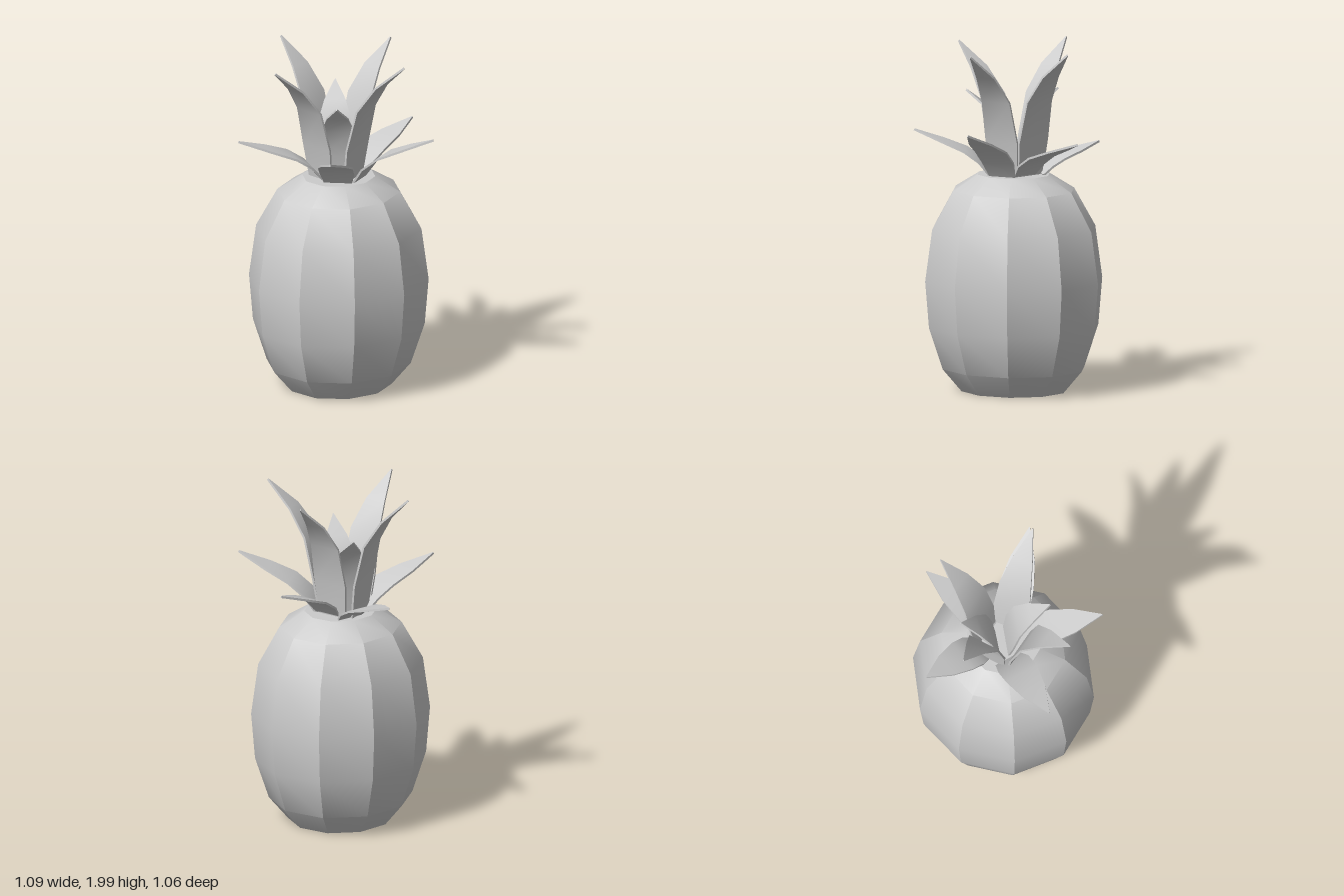
import * as THREE from 'three';
import { toCreasedNormals } from 'three/addons/utils/BufferGeometryUtils.js';

const CREASE = Math.PI / 6;
const TOP = 1.25;        // height of the flat top of the fruit
const THICK = 0.006;     // half thickness of a leaf

// Leaf rows: outward fraction, height fraction, half width
const UPRIGHT = [[0, 0, 0.09], [0.08, 0.27, 0.108], [0.25, 0.6, 0.095], [0.55, 0.81, 0.062], [1, 1, 0.002]];
const SPREADING = [[0, 0, 0.08], [0.13, 0.3, 0.1], [0.33, 0.55, 0.1], [0.63, 0.76, 0.072], [1, 1, 0.002]];

// Thin curved blade running from a base point to a tip
function leafGeometry([bx, bz], [tx, ty, tz], rows) {
  const reach = Math.hypot(tx - bx, tz - bz);
  const dir = new THREE.Vector3((tx - bx) / reach, 0, (tz - bz) / reach);
  const side = new THREE.Vector3(dir.z, 0, -dir.x);
  const path = rows.map(([o, h]) => new THREE.Vector2(o * reach, h * (ty - TOP)));
  const pos = [], index = [];
  rows.forEach(([, , half], i) => {
    const t = path[Math.min(i + 1, path.length - 1)].clone().sub(path[Math.max(i - 1, 0)]).normalize();
    for (const [s, n] of [[-1, -1], [1, -1], [1, 1], [-1, 1]]) {
      const out = path[i].x - t.y * n * THICK;
      const w = s * half;
      pos.push(
        bx + dir.x * out + side.x * w,
        TOP + path[i].y + t.x * n * THICK,
        bz + dir.z * out + side.z * w
      );
    }
    if (i === 0) return;
    for (let j = 0; j < 4; j++) {
      const k = (j + 1) % 4, a = (i - 1) * 4, b = i * 4;
      index.push(a + j, a + k, b + k, a + j, b + k, b + j);
    }
  });
  const e = (rows.length - 1) * 4;
  index.push(0, 3, 2, 0, 2, 1, e, e + 1, e + 2, e, e + 2, e + 3);
  const g = new THREE.BufferGeometry();
  g.setAttribute('position', new THREE.Float32BufferAttribute(pos, 3));
  g.setIndex(index);
  return toCreasedNormals(g, CREASE);
}

export function createModel() {
  const model = new THREE.Group();
  model.name = 'pineapple';
  const grey = new THREE.MeshStandardMaterial({ color: 0xcccccc });

  // Ten-sided barrel fruit, slightly deeper than wide
  const profile = [
    [0, 0], [0.297, 0], [0.405, 0.13], [0.483, 0.37], [0.505, 0.64],
    [0.465, 0.94], [0.345, 1.16], [0.205, TOP], [0, TOP]
  ].map(([r, y]) => new THREE.Vector2(r, y));
  const lathe = new THREE.LatheGeometry(profile, 10, Math.PI / 2);
  lathe.scale(1, 1, 1.057);
  const fruit = new THREE.Mesh(toCreasedNormals(lathe, CREASE), grey);
  fruit.name = 'fruit';
  fruit.position.set(-0.04, 0, 0.02);
  model.add(fruit);

  // Crown: each leaf is [base x z, tip x y z]
  const crown = new THREE.Group();
  crown.name = 'crown';
  model.add(crown);
  const addLeaves = (name, rows, list) => list.forEach(([base, tip]) => {
    const leaf = new THREE.Mesh(leafGeometry(base, tip, rows), grey);
    leaf.name = name;
    crown.add(leaf);
  });
  addLeaves('tallLeaf', UPRIGHT, [
    [[-0.055, -0.09], [-0.025, 1.98, -0.405]],
    [[0.055, 0.005], [0.405, 1.98, -0.045]],
    [[-0.17, 0.01], [-0.49, 1.99, 0.018]],
    [[-0.08, 0.13], [-0.1, 1.965, 0.495]]
  ]);
  addLeaves('innerLeaf', UPRIGHT, [
    [[-0.085, 0.005], [-0.226, 1.745, -0.155]],
    [[-0.03, 0.035], [0.133, 1.735, 0.23]]
  ]);
  addLeaves('lowLeaf', SPREADING, [
    [[-0.015, -0.08], [0.03, 1.48, -0.53]],
    [[0.09, -0.01], [0.54, 1.55, -0.145]],
    [[-0.15, -0.07], [-0.505, 1.41, -0.22]],
    [[-0.125, 0.1], [-0.365, 1.5, 0.515]],
    [[0.045, 0.12], [0.305, 1.5, 0.475]]
  ]);
  return model;
}
